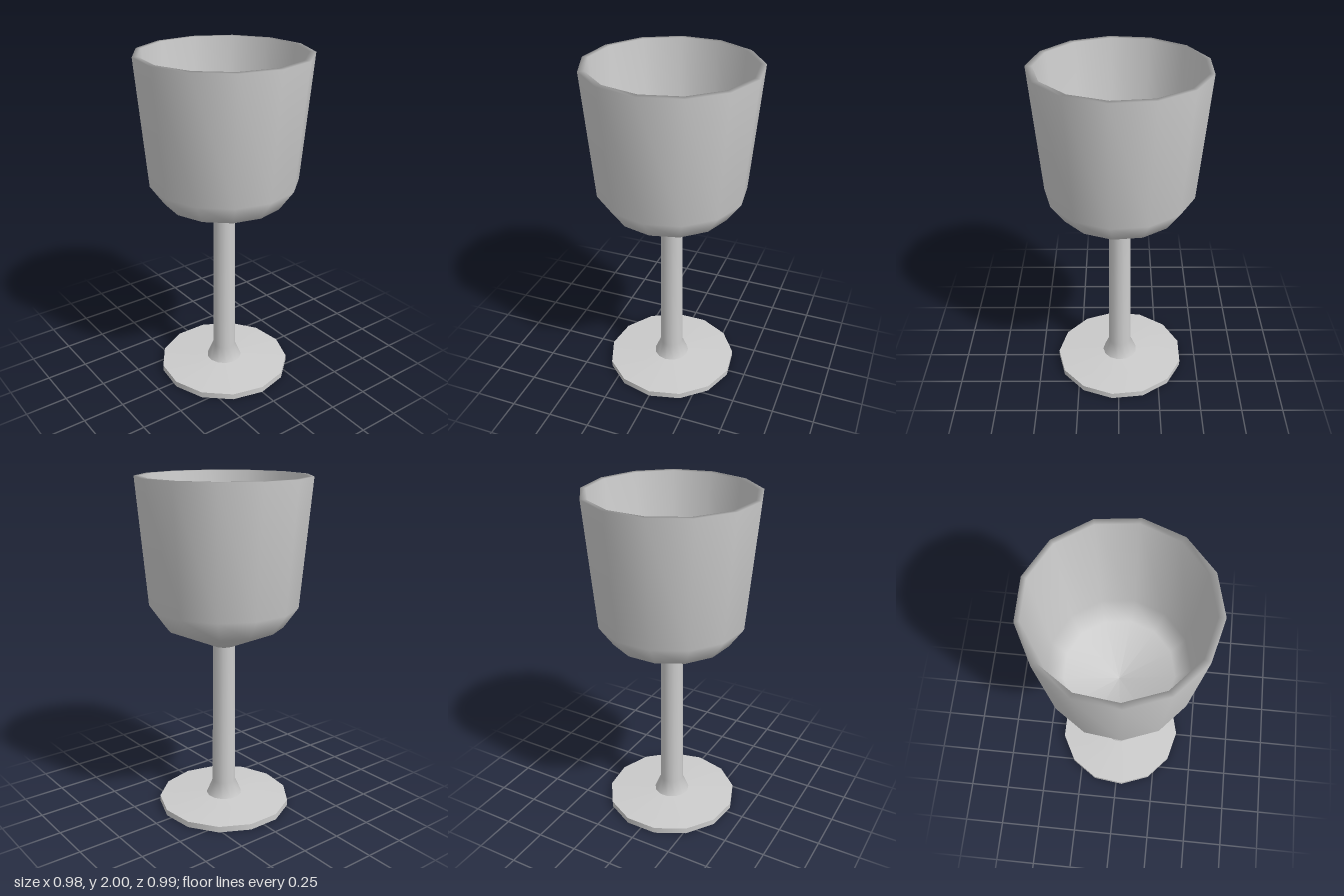
import * as THREE from 'three';

const SIDES = 13;
const material = new THREE.MeshStandardMaterial({ color: 0xcccccc });

// Thirteen-sided turned part with one corner pointing along +x
function turned(name, profile) {
  const points = profile.map(([r, y]) => new THREE.Vector2(r, y));
  const geometry = new THREE.LatheGeometry(points, SIDES, Math.PI / 2);
  const mesh = new THREE.Mesh(geometry, material);
  mesh.name = name;
  return mesh;
}

export function createModel() {
  const goblet = new THREE.Group();
  goblet.name = 'goblet';

  // Foot: flat underside, thin edge and gently sloping top
  goblet.add(turned('footUnderside', [[0, 0], [0.4, 0]]));
  goblet.add(turned('footEdge', [[0.4, 0], [0.4, 0.036]]));
  goblet.add(turned('footTop', [[0.4, 0.036], [0.108, 0.057]]));

  // Stem: flared collar, then a slight taper up to the bowl
  goblet.add(turned('stem', [[0.108, 0.057], [0.071, 0.145], [0.065, 1.02]]));

  // Bowl: outer wall, rim and hollow inside in one profile
  const bowlProfile = [
    [0.065, 1.02], [0.35, 1.145], [0.435, 1.265], [0.499, 2],
    [0.466, 2], [0.405, 1.28], [0.32, 1.17], [0, 1.06],
  ];
  const bowl = turned('bowl', bowlProfile);
  // The hollow sits a touch off centre inside the outer wall
  const position = bowl.geometry.attributes.position;
  for (let i = 0; i < position.count; i++) {
    if (i % bowlProfile.length >= 4) position.setX(i, position.getX(i) - 0.005);
  }
  goblet.add(bowl);

  // Centre the odd-sided outline on x = 0
  for (const part of goblet.children) part.position.x = -0.008;
  return goblet;
}
